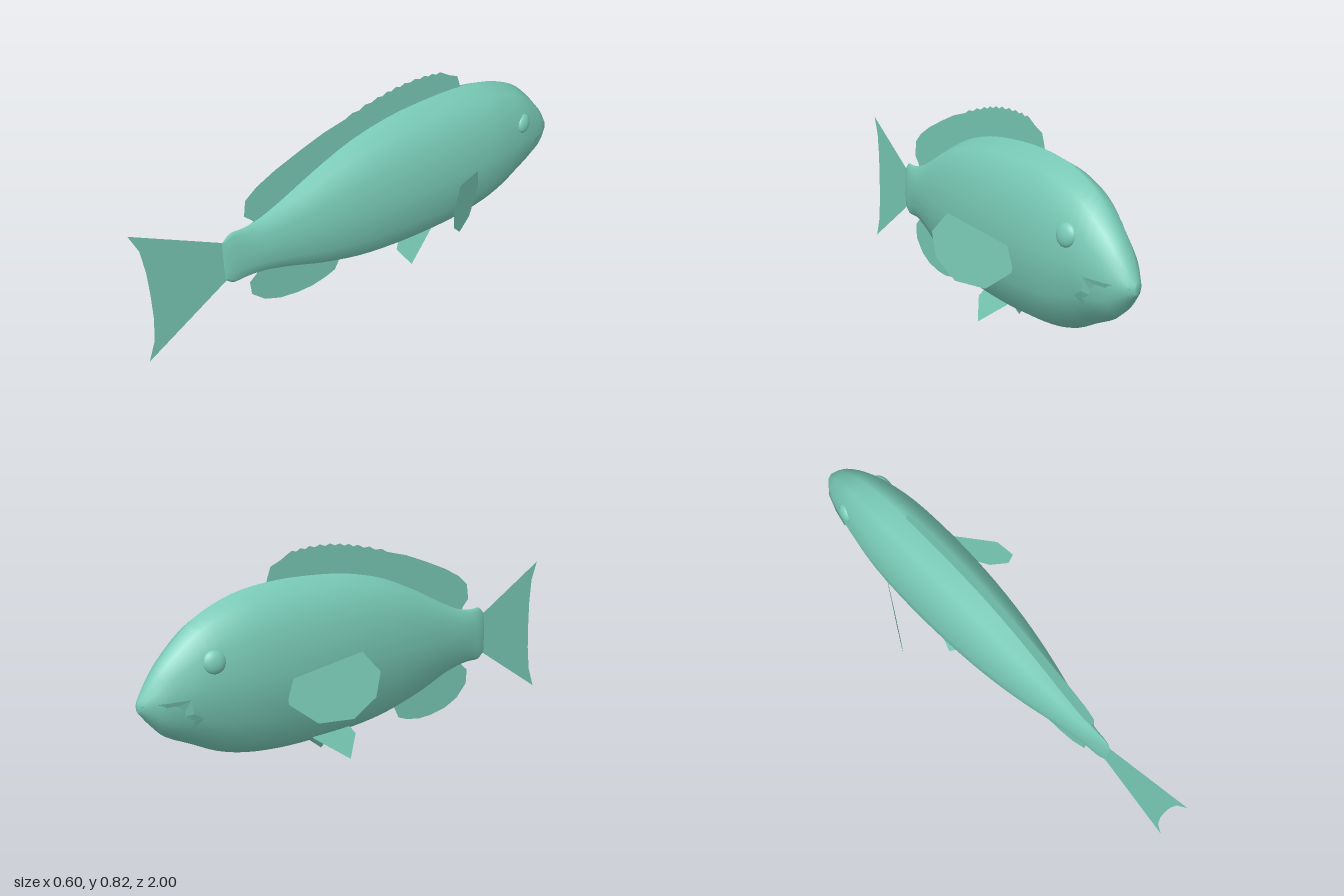
import * as THREE from 'three';

const teal = new THREE.MeshStandardMaterial({ color: 0x7accb8, side: THREE.DoubleSide });
teal.name = 'teal';

// Body stations: z, top y, bottom y, half width (nose at -z)
const stations = [
  [-1, 0.345, 0.315, 0.008], [-0.985, 0.37, 0.295, 0.03], [-0.95, 0.425, 0.255, 0.055],
  [-0.9, 0.49, 0.21, 0.078], [-0.8, 0.588, 0.165, 0.107], [-0.7, 0.645, 0.12, 0.126],
  [-0.58, 0.685, 0.09, 0.141], [-0.43, 0.705, 0.077, 0.147], [-0.27, 0.709, 0.079, 0.146],
  [-0.1, 0.7, 0.09, 0.137], [0.08, 0.665, 0.116, 0.119], [0.25, 0.602, 0.165, 0.092],
  [0.4, 0.535, 0.222, 0.06], [0.5, 0.498, 0.252, 0.039], [0.57, 0.488, 0.262, 0.025],
  [0.625, 0.49, 0.264, 0.015], [0.66, 0.46, 0.29, 0.003],
];
const upper = new THREE.CatmullRomCurve3(stations.map(([z, t, , w]) => new THREE.Vector3(w, t, z)), false, 'catmullrom');
const lower = new THREE.CatmullRomCurve3(stations.map(([z, , b]) => new THREE.Vector3(0, b, z)), false, 'catmullrom');

function add(group, name, geometry) {
  const mesh = new THREE.Mesh(geometry, teal);
  mesh.name = name;
  group.add(mesh);
  return mesh;
}

// Twelve-sided rings lofted from nose to tail root
function bodyGeometry(rings = 48, sides = 12) {
  const pos = [], index = [];
  for (let i = 0; i <= rings; i++) {
    const u = upper.getPoint(i / rings), l = lower.getPoint(i / rings);
    const c = (u.y + l.y) / 2, h = (u.y - l.y) / 2;
    for (let k = 0; k < sides; k++) {
      const a = (k / sides) * Math.PI * 2;
      pos.push(u.x * Math.sin(a), c + h * Math.cos(a), u.z);
    }
  }
  for (let i = 0; i < rings; i++) {
    for (let k = 0; k < sides; k++) {
      const a = i * sides + k, b = i * sides + ((k + 1) % sides);
      index.push(a, a + sides, b, b, a + sides, b + sides);
    }
  }
  const last = rings * sides;
  for (let k = 1; k < sides - 1; k++) {
    index.push(0, k, k + 1, last, last + k + 1, last + k);
  }
  const g = new THREE.BufferGeometry();
  g.setAttribute('position', new THREE.Float32BufferAttribute(pos, 3));
  g.setIndex(index);
  g.computeVertexNormals();
  return g;
}

// Half width of the body surface at a given z and y
function surfaceX(z, y) {
  let i = 0;
  while (i < stations.length - 2 && stations[i + 1][0] < z) i++;
  const f = (z - stations[i][0]) / (stations[i + 1][0] - stations[i][0]);
  const [, t, b, w] = stations[i].map((v, j) => v + (stations[i + 1][j] - v) * f);
  const q = (2 * y - t - b) / (t - b);
  return w * Math.sqrt(Math.max(0, 1 - q * q));
}

// Flat outline placed in space by a rule (u, v) -> [x, y, z]
function finGeometry(points, place) {
  const g = new THREE.ShapeGeometry(new THREE.Shape(points.map(([u, v]) => new THREE.Vector2(u, v))));
  const p = g.attributes.position;
  for (let i = 0; i < p.count; i++) p.setXYZ(i, ...place(p.getX(i), p.getY(i)));
  g.computeVertexNormals();
  return g;
}

// Mouth crease: an overhanging lip tucked back into the cheek
function lipGeometry(s) {
  const top = [[-0.995, 0.335], [-0.93, 0.345], [-0.85, 0.35], [-0.84, 0.3], [-0.805, 0.28]];
  const low = [[-0.99, 0.327], [-0.92, 0.315], [-0.875, 0.29], [-0.855, 0.262], [-0.84, 0.22]];
  const pos = [], index = [];
  top.forEach(([z, y], i) => {
    const [lz, ly] = low[i];
    pos.push(s * (surfaceX(z, y) + 0.006), y, z, s * (surfaceX(lz, ly) - 0.004), ly, lz);
    if (i) {
      const a = 2 * i - 2;
      index.push(...(s > 0 ? [a, a + 2, a + 1, a + 1, a + 2, a + 3] : [a, a + 1, a + 2, a + 1, a + 3, a + 2]));
    }
  });
  const g = new THREE.BufferGeometry();
  g.setAttribute('position', new THREE.Float32BufferAttribute(pos, 3));
  g.setIndex(index);
  const flat = g.toNonIndexed();
  flat.computeVertexNormals();
  return flat;
}

export function createModel() {
  const fish = new THREE.Group();
  fish.name = 'fish';
  add(fish, 'body', bodyGeometry());

  // Fins on the middle plane, outlined in z and y
  const middle = (z, y) => [0, y, z];
  const crest = [];
  const ridge = new THREE.CatmullRomCurve3([
    [0.1, 0.772], [-0.05, 0.802], [-0.16, 0.815], [-0.28, 0.813], [-0.38, 0.798],
  ].map(([z, y]) => new THREE.Vector3(0, y, z)));
  for (let i = 0; i <= 20; i++) {
    const p = ridge.getPoint(i / 20);
    crest.push([p.z, p.y + (i % 2 ? 0.004 : -0.004)]);
  }
  add(fish, 'dorsalFin', finGeometry([
    [0.5, 0.46], [0.53, 0.505], [0.56, 0.535], [0.55, 0.6], [0.5, 0.638], [0.42, 0.675], [0.3, 0.717], [0.2, 0.748],
    ...crest, [-0.41, 0.775], [-0.455, 0.755], [-0.47, 0.715], [-0.48, 0.68], [-0.2, 0.66], [0.1, 0.62], [0.3, 0.54],
  ], middle));
  add(fish, 'analFin', finGeometry([
    [0.5, 0.28], [0.53, 0.25], [0.56, 0.225], [0.555, 0.165], [0.5, 0.11], [0.43, 0.078], [0.35, 0.062],
    [0.28, 0.058], [0.21, 0.068], [0.165, 0.083], [0.14, 0.13], [0.12, 0.17], [0.3, 0.23],
  ], middle));
  add(fish, 'tailFin', finGeometry([
    [0.63, 0.46], [0.66, 0.465], [1, 0.66], [0.968, 0.58], [0.957, 0.48], [0.955, 0.375],
    [0.957, 0.27], [0.968, 0.17], [1, 0.085], [0.66, 0.285], [0.63, 0.3],
  ], middle));

  for (const s of [1, -1]) {
    const side = s > 0 ? 'left' : 'right';
    // Pectoral fin swept back from the flank
    add(fish, side + 'PectoralFin', finGeometry([
      [0.135, 0.36], [0.147, 0.375], [0.265, 0.46], [0.298, 0.385], [0.29, 0.29], [0.25, 0.213], [0.187, 0.203], [0.135, 0.278],
    ], (x, y) => [s * x, y, -0.46 + (x - 0.147) * 1.78]));
    // Pelvic fin splayed below the belly
    add(fish, side + 'PelvicFin', finGeometry([
      [-0.14, 0.125], [-0.11, 0.083], [-0.165, 0], [-0.31, 0.1], [-0.33, 0.125],
    ], (z, y) => [s * (0.093 - 0.43 * y), y, z]));
    // Eye bulge and mouth
    const eye = add(fish, side + 'Eye', new THREE.SphereGeometry(1, 20, 14));
    eye.scale.set(0.02, 0.041, 0.041);
    eye.position.set(s * 0.1, 0.467, -0.76);
    eye.rotation.set(0, s * 0.25, s * 0.15);
    add(fish, side + 'Lip', lipGeometry(s));
  }
  return fish;
}
